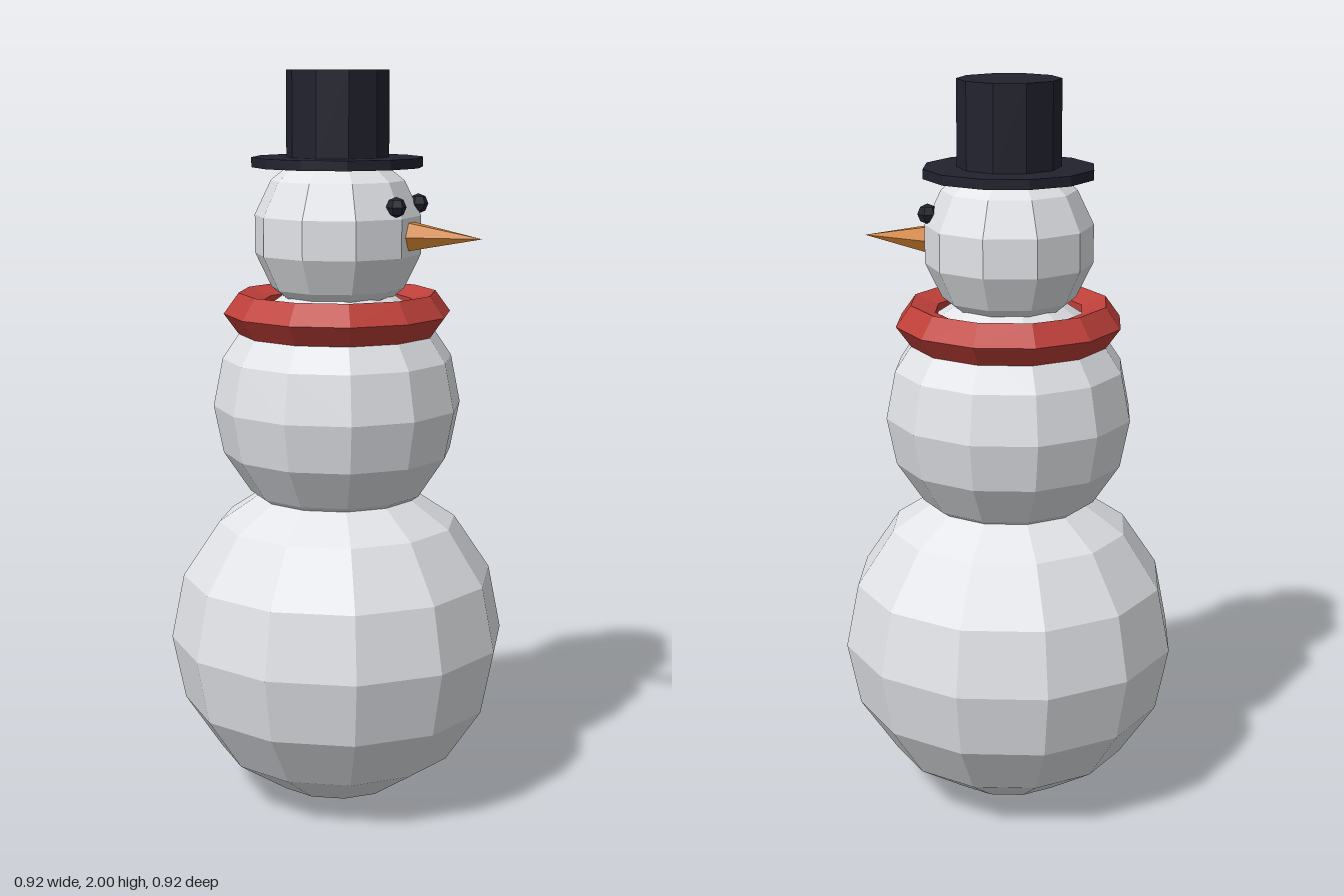
import * as THREE from 'three';

export function createModel() {
  const group = new THREE.Group();
  const material = (name, color) => {
    const m = new THREE.MeshStandardMaterial({ color, flatShading: true });
    m.name = name;
    return m;
  };
  const snow = material('snow', 0xe6e8ec);
  const felt = material('blackFelt', 0x22222e);
  const wool = material('redWool', 0xc0403a);
  const carrot = material('carrotOrange', 0xcf8030);

  const add = (name, geometry, mat, x, y, z) => {
    const mesh = new THREE.Mesh(geometry, mat);
    mesh.name = name;
    mesh.position.set(x, y, z);
    group.add(mesh);
    return mesh;
  };

  // Stacked snowballs; the head has a flat facet towards the face (+x)
  add('lowerBody', new THREE.SphereGeometry(0.461, 12, 8), snow, 0, 0.461, 0);
  add('upperBody', new THREE.SphereGeometry(0.337, 12, 8), snow, 0, 1.11, 0);
  add('head', new THREE.SphereGeometry(0.229, 10, 7).rotateY(Math.PI / 2), snow, 0, 1.57, 0);

  // Scarf: five-sided ring
  add('scarf', new THREE.TorusGeometry(0.248, 0.059, 5, 12).rotateX(Math.PI / 2), wool, 0, 1.36, 0);

  // Top hat
  add('hatBrim', new THREE.CylinderGeometry(0.229, 0.229, 0.026, 12), felt, 0, 1.761, 0);
  add('hatCrown', new THREE.CylinderGeometry(0.137, 0.137, 0.235, 10), felt, 0, 1.8825, 0);

  // Eyes
  for (const side of [-1, 1]) {
    const eye = new THREE.SphereGeometry(0.027, 6, 4).rotateY(Math.PI / 2);
    add(side < 0 ? 'rightEye' : 'leftEye', eye, felt, 0.2, 1.652, side * 0.078);
  }

  // Carrot nose pointing along +x
  const nose = new THREE.ConeGeometry(0.045, 0.21, 6).rotateZ(-Math.PI / 2);
  add('nose', nose, carrot, 0.304, 1.571, 0);

  return group;
}
